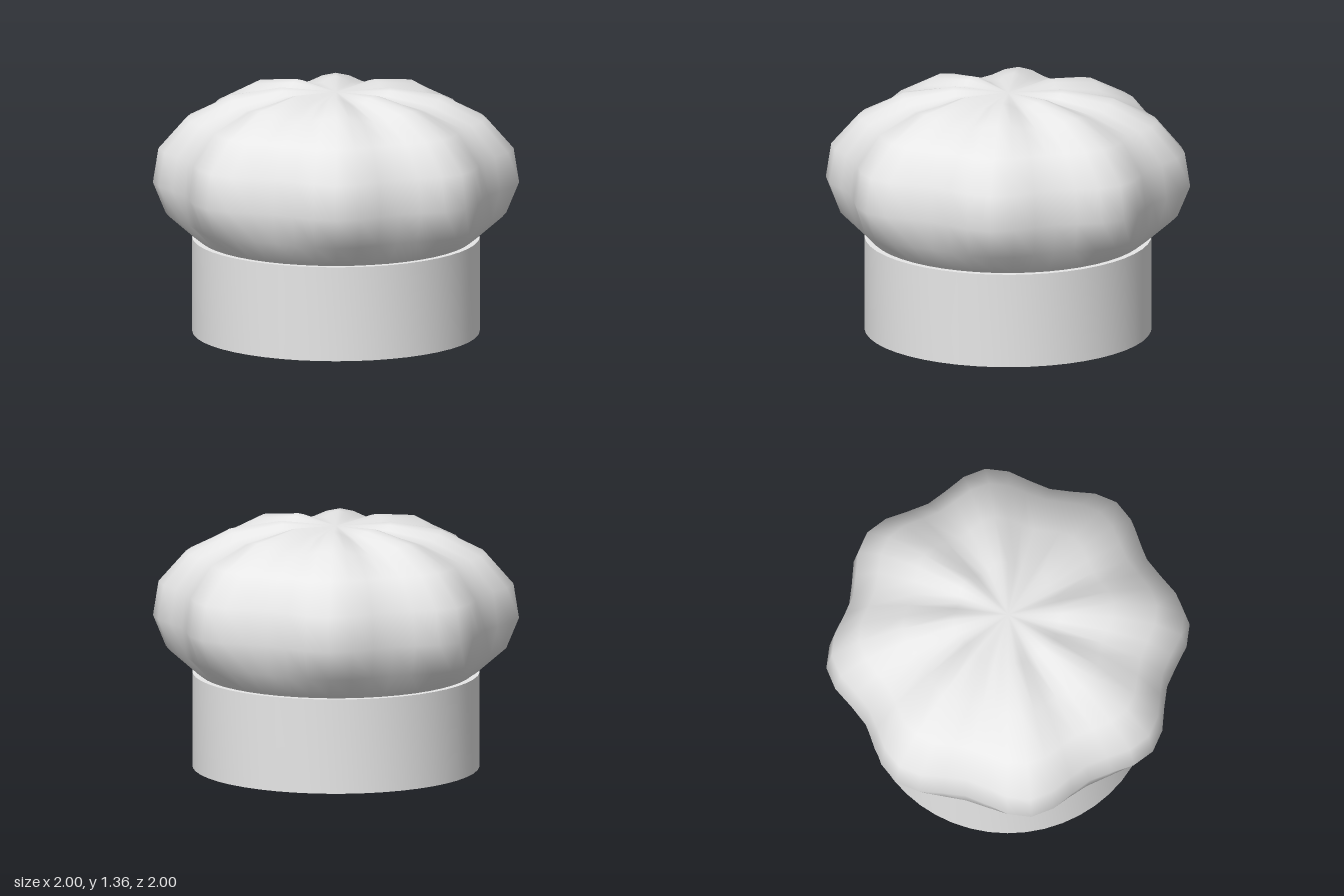
import * as THREE from 'three';
import { mergeVertices, toCreasedNormals } from 'three/addons/utils/BufferGeometryUtils.js';

const SEGMENTS = 48;
const LOBES = 8;

// Rings of the puffed crown: [lobe radius, lobe height, pleat depth inward, pleat depth down]
const RINGS = [
  [0.72, 0.49, 0, 0],
  [0.75, 0.525, 0, 0],
  [0.78, 0.54, 0.015, 0],
  [0.93, 0.66, 0.065, 0],
  [1.0, 0.83, 0.1, 0],
  [0.97, 1.02, 0.095, 0],
  [0.82, 1.19, 0.07, 0.005],
  [0.58, 1.315, 0.045, 0.045],
  [0.3, 1.36, 0.02, 0.045],
  [0, 1.335, 0, 0],
];

// Lathe the rings, then press eight pleats into the surface
function crownGeometry() {
  const profile = RINGS.map(([r, y]) => new THREE.Vector2(r, y));
  let geo = new THREE.LatheGeometry(profile, SEGMENTS);
  const pos = geo.attributes.position;
  for (let i = 0; i < pos.count; i++) {
    const [r, y, inward, down] = RINGS[i % RINGS.length];
    const angle = (Math.floor(i / RINGS.length) / SEGMENTS) * Math.PI * 2;
    const pleat = (1 - Math.cos(LOBES * angle)) / 2;
    const radius = r - inward * pleat;
    pos.setXYZ(i, radius * Math.sin(angle), y - down * pleat, radius * Math.cos(angle));
  }
  // Weld the seam so the shading runs smoothly all the way round
  geo.deleteAttribute('uv');
  geo.deleteAttribute('normal');
  geo = mergeVertices(geo, 1e-4);
  geo.computeVertexNormals();
  return geo;
}

// Thick hollow ring with crisp rims
function bandGeometry(outer, inner, height) {
  const profile = [
    [inner, 0], [outer, 0], [outer, height], [inner, height], [inner, 0],
  ].map(([r, y]) => new THREE.Vector2(r, y));
  return toCreasedNormals(new THREE.LatheGeometry(profile, SEGMENTS), 0.6);
}

export function createModel() {
  const group = new THREE.Group();
  group.name = 'chefHat';

  const cloth = new THREE.MeshStandardMaterial({ color: 0xe8e8e8 });
  cloth.name = 'white cloth';

  const add = (name, geometry) => {
    const mesh = new THREE.Mesh(geometry, cloth);
    mesh.name = name;
    group.add(mesh);
    return mesh;
  };

  add('headBand', bandGeometry(0.785, 0.705, 0.525));
  add('puffedCrown', crownGeometry());

  // Flat underside of the crown, seen inside the band
  const lining = add('crownLining', new THREE.CircleGeometry(0.72, SEGMENTS));
  lining.rotation.x = Math.PI / 2;
  lining.position.y = 0.49;

  return group;
}
